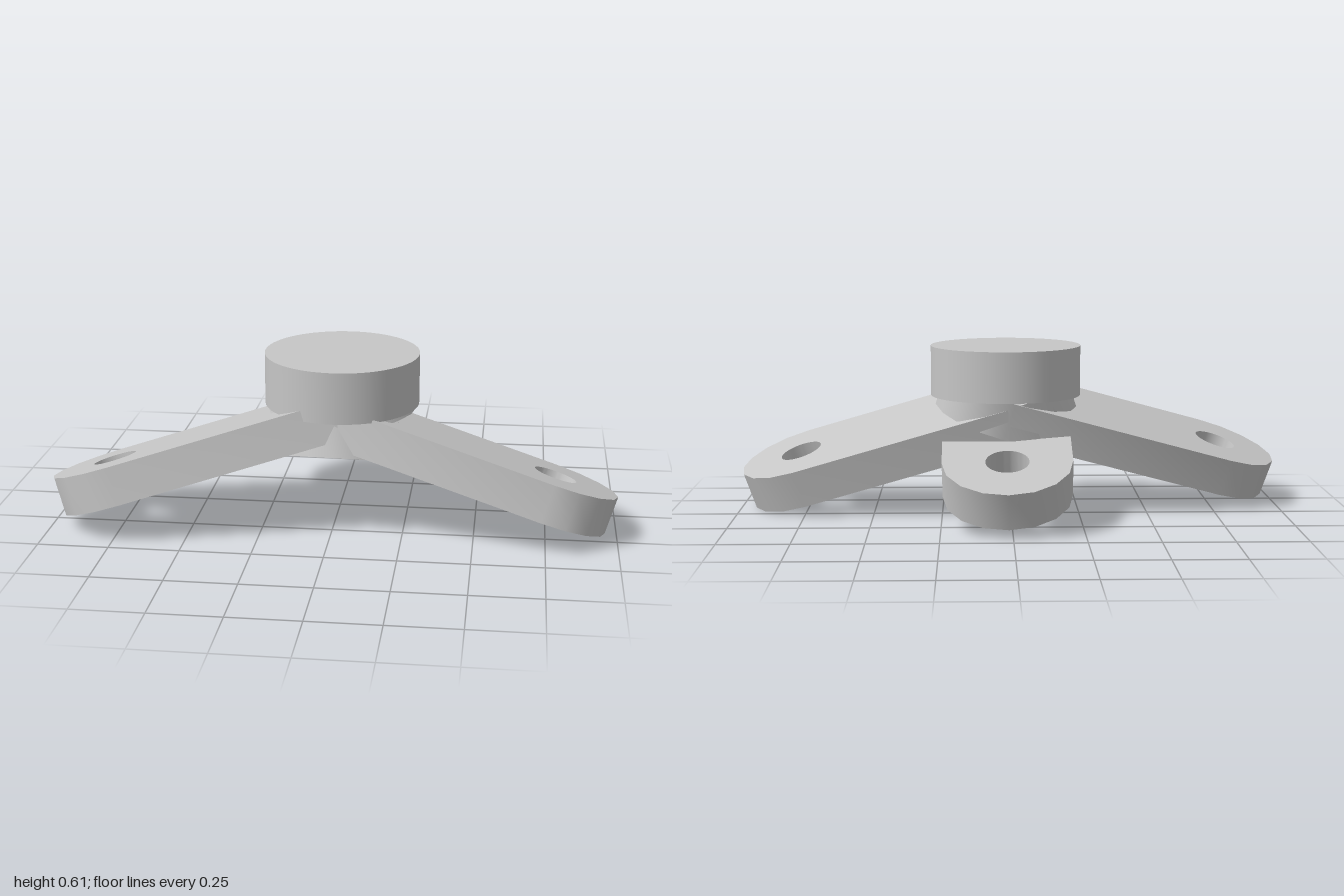
import * as THREE from 'three';
import { toCreasedNormals } from 'three/addons/utils/BufferGeometryUtils.js';

const THICK = 0.138, R = 0.23, HOLE = 0.077;

// Round-ended plate with a bolt hole; its top face starts at the local origin and runs along +x.
function plateGeometry(length) {
  const shape = new THREE.Shape();
  const steps = 8;
  for (let end = 0; end < 2; end++) {
    for (let i = 0; i <= steps; i++) {
      const a = -Math.PI / 2 + end * Math.PI + (i / steps) * Math.PI;
      const x = (end ? 0 : length) + R * Math.cos(a), y = R * Math.sin(a);
      if (end || i) shape.lineTo(x, y); else shape.moveTo(x, y);
    }
  }
  shape.closePath();
  const hole = new THREE.Path();
  hole.absarc(length, 0, HOLE, 0, Math.PI * 2, true);
  shape.holes.push(hole);
  const geo = new THREE.ExtrudeGeometry(shape, { depth: THICK, bevelEnabled: false, curveSegments: 28 });
  return toCreasedNormals(geo.translate(0, 0, -THICK), 0.6);
}

// Each arm lies in a sloping plane: dy = slopeX * dx + slopeZ * dz from its hub point.
const ARMS = [
  { name: 'leftArm', hub: [0.015, 0.44, 0.083], hole: [0.78, 0.157], slopeX: -0.32, slopeZ: 0.18 },
  { name: 'rightArm', hub: [0.015, 0.465, 0.078], hole: [-0.783, 0.23], slopeX: 0.32, slopeZ: 0.155 },
  { name: 'backArm', hub: [0.017, 0.364, 0.098], hole: [0.017, -0.26], slopeX: -0.02, slopeZ: 0.355 },
];

export function createModel() {
  const model = new THREE.Group();
  model.name = 'threeArmBracket';
  const grey = new THREE.MeshStandardMaterial({ color: 0xc6c6c6 });
  grey.name = 'lightGrey';

  const add = (name, geometry) => {
    const mesh = new THREE.Mesh(geometry, grey);
    mesh.name = name;
    model.add(mesh);
    return mesh;
  };

  // Cap disc sitting on the crossed arm ends
  add('capDisc', new THREE.CylinderGeometry(0.274, 0.274, 0.182, 64)).position.set(0.017, 0.521, 0.082);

  // Sloping arms
  for (const { name, hub, hole, slopeX, slopeZ } of ARMS) {
    const dx = hole[0] - hub[0], dz = hole[1] - hub[2];
    const along = new THREE.Vector3(dx, slopeX * dx + slopeZ * dz, dz);
    const length = along.length();
    along.normalize();
    const normal = new THREE.Vector3(-slopeX, 1, -slopeZ).normalize();
    const across = new THREE.Vector3().crossVectors(normal, along);
    const arm = add(name, plateGeometry(length));
    arm.quaternion.setFromRotationMatrix(new THREE.Matrix4().makeBasis(along, across, normal));
    arm.position.set(...hub);
  }
  return model;
}
